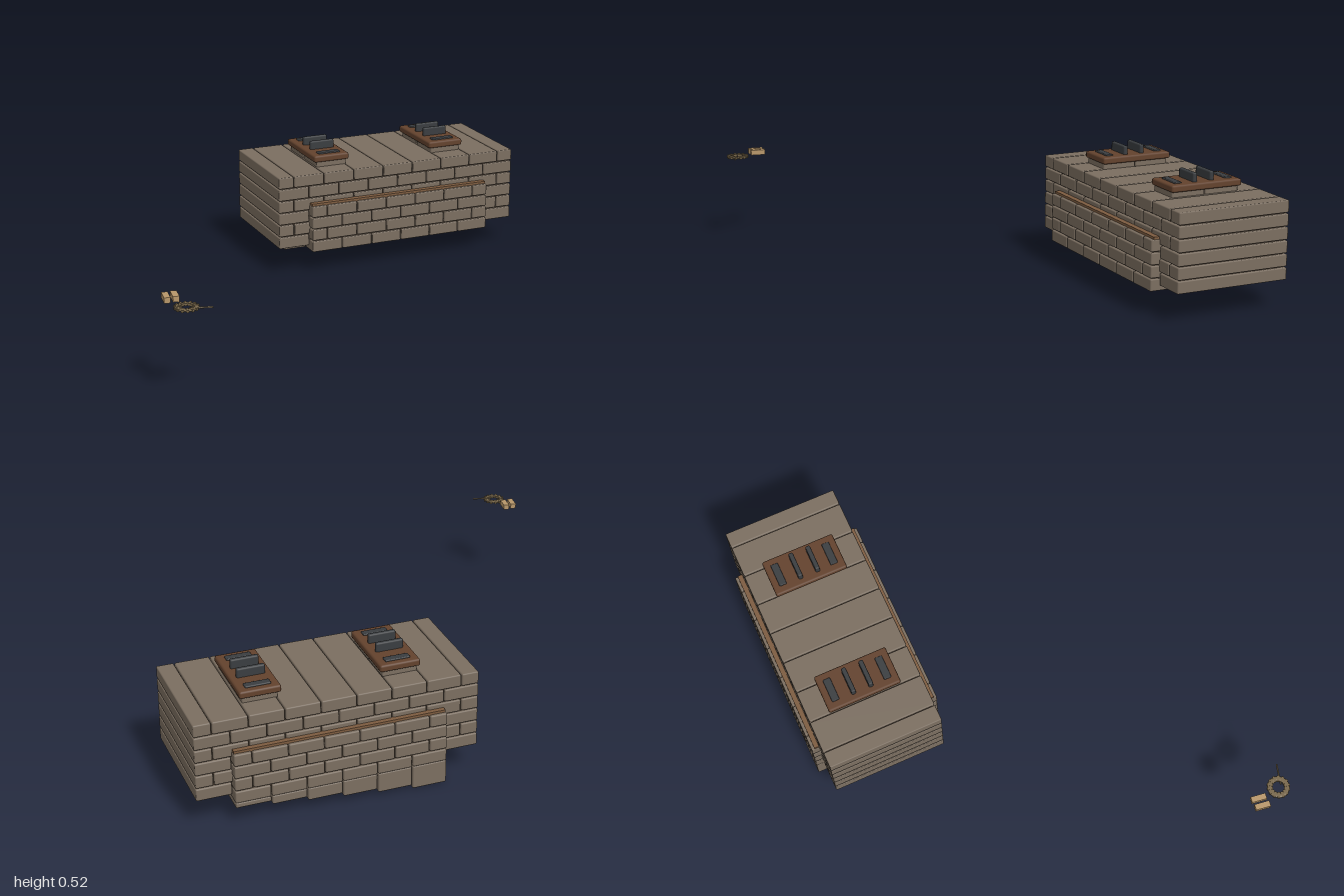
import * as THREE from 'three';
import { RoundedBoxGeometry } from 'three/addons/geometries/RoundedBoxGeometry.js';

const mat = (name, color) => {
  const m = new THREE.MeshStandardMaterial({ color });
  m.name = name;
  return m;
};

export function createModel() {
  const stone = mat('stone', 0x7b6e60);
  const mortar = mat('mortar', 0x4a3c30);
  const wood = mat('wood', 0x7d5c40);
  const darkWood = mat('dark wood', 0x63422d);
  const iron = mat('iron', 0x3a3d40);
  const tan = mat('tan', 0xb8976a);
  const rope = mat('rope', 0x78674a);

  const model = new THREE.Group();
  model.name = 'stoneBench';

  const group = (name) => {
    const g = new THREE.Group();
    g.name = name;
    model.add(g);
    return g;
  };
  // Box given by its limits on each axis, with optional bevel
  const block = (parent, name, material, [x0, x1], [y0, y1], [z0, z1], bevel = 0) => {
    const size = [x1 - x0, y1 - y0, z1 - z0];
    const geo = bevel ? new RoundedBoxGeometry(...size, 1, bevel) : new THREE.BoxGeometry(...size);
    const mesh = new THREE.Mesh(geo, material);
    mesh.name = name;
    mesh.position.set((x0 + x1) / 2, (y0 + y1) / 2, (z0 + z1) / 2);
    parent.add(mesh);
    return mesh;
  };

  const W = 0.141, GAP = 0.004, BEVEL = 0.005;
  // Courses of full-depth bevelled bricks in running bond over a recessed mortar core
  const masonry = (name, x0, columns, [y0, y1], z, rows) => {
    const g = group(name);
    const inset = 0.012, x1 = x0 + columns * W;
    block(g, 'mortarCore', mortar, [x0 + inset, x1 - inset], [y0 + inset, y1 - inset],
      [z[0] + inset, z[1] - inset]);
    const pitch = (y1 - y0 + GAP) / rows;
    for (let r = 0; r < rows; r++) {
      const y = y0 + r * pitch, shift = r % 2 ? 0.5 : 0;
      for (let i = 0; i < columns + shift; i++) {
        const a = Math.max(0, i - shift), b = Math.min(columns, i + 1 - shift);
        block(g, 'brick', stone,
          [x0 + a * W + (a > 0 ? GAP / 2 : 0), x0 + b * W - (b < columns ? GAP / 2 : 0)],
          [y, y + pitch - GAP], z, BEVEL);
      }
    }
  };
  masonry('upperWall', -0.13, 8, [0.122, 0.442], [-0.812, -0.322], 6);
  masonry('lowerWall', 0.011, 6, [0.1, 0.306], [-0.845, -0.285], 4);

  // Wooden ledge on the lower wall, front and back
  const ledge = group('ledge');
  for (const z of [[-0.325, -0.298], [-0.832, -0.809]]) {
    block(ledge, 'ledgeBoard', wood, [0.014, 0.854], [0.303, 0.316], z);
  }

  // Stepped blocks hanging below the rear edge
  const steps = group('steps');
  for (let i = 0; i < 6; i++) {
    const x = 0.011 + i * W;
    block(steps, 'stepBlock', stone, [x + (i ? GAP / 2 : 0), x + W - (i < 5 ? GAP / 2 : 0)],
      [0.003 + i * 0.0152, 0.1], [-0.845, -0.622], BEVEL);
  }

  // Two raised stands with a wooden plate and iron bars
  for (const cx of [0.155, 0.71]) {
    const stand = group('stand');
    const x = [cx - 0.07, cx + 0.07];
    block(stand, 'standBlock', stone, x, [0.438, 0.467], [-0.563, -0.416], BEVEL);
    block(stand, 'standBlock', stone, x, [0.438, 0.467], [-0.715, -0.567], BEVEL);
    block(stand, 'standPlate', darkWood, [cx - 0.082, cx + 0.082], [0.463, 0.492], [-0.725, -0.41], 0.008);
    for (const z of [-0.604, -0.528]) {
      block(stand, 'uprightBar', iron, [cx - 0.056, cx + 0.056], [0.485, 0.528], [z - 0.01, z + 0.01], 0.006);
    }
    for (const z of [-0.682, -0.454]) {
      block(stand, 'lowBar', iron, [cx - 0.051, cx + 0.051], [0.48, 0.498], [z - 0.016, z + 0.016], 0.004);
    }
  }

  // Pair of small slanted strips
  const strips = group('strips');
  for (const cx of [-0.983, -0.949]) {
    const s = block(strips, 'strip', tan, [cx - 0.012, cx + 0.012], [0.376, 0.398], [0.669, 0.731]);
    s.rotation.y = -0.15;
  }

  // Flat rope coil with bindings and a loose tail
  const coil = group('ropeCoil');
  coil.position.set(-0.938, 0.378, 0.797);
  const ring = new THREE.Mesh(new THREE.TorusGeometry(0.035, 0.011, 8, 28).rotateX(Math.PI / 2).scale(1, 0.4, 1), rope);
  ring.name = 'coilRing';
  coil.add(ring);
  for (let i = 0; i < 14; i++) {
    const a = (i / 14) * Math.PI * 2;
    const wrap = new THREE.Mesh(new THREE.BoxGeometry(0.024, 0.01, 0.009), rope);
    wrap.name = 'coilWrap';
    wrap.position.set(Math.cos(a) * 0.035, 0, Math.sin(a) * 0.035);
    wrap.rotation.y = -a;
    coil.add(wrap);
  }
  const tailPath = new THREE.CatmullRomCurve3([
    new THREE.Vector3(0.005, 0, 0.014), new THREE.Vector3(0.045, 0, 0.025), new THREE.Vector3(0.088, 0, 0.038)]);
  const tail = new THREE.Mesh(new THREE.TubeGeometry(tailPath, 6, 0.0035, 6), rope);
  tail.name = 'ropeTail';
  coil.add(tail);

  return model;
}
